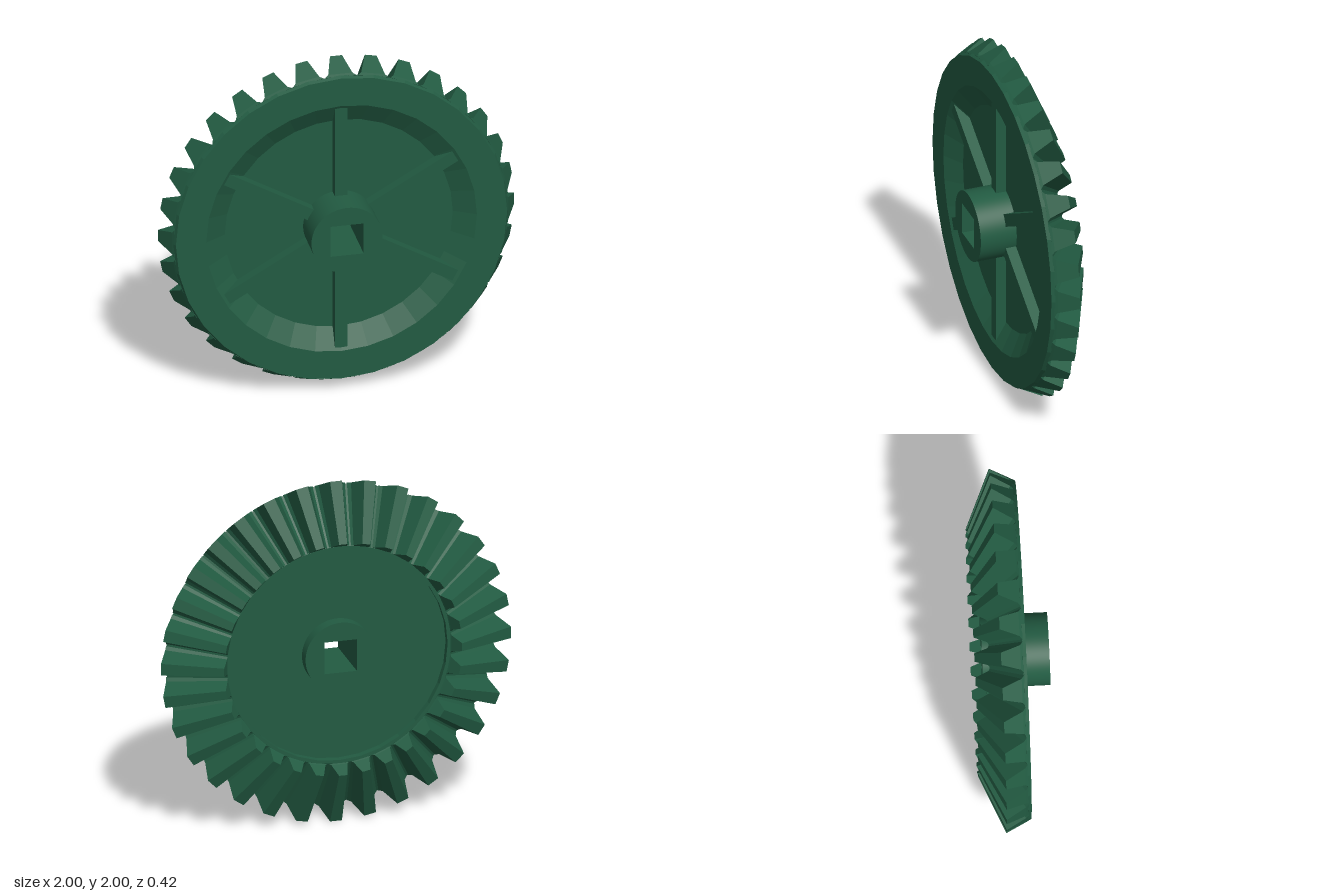
import * as THREE from 'three';
import { toCreasedNormals } from 'three/addons/utils/BufferGeometryUtils.js';

const TEETH = 32;
const APEX_Z = -0.51; // all teeth taper towards this point on the axis
const INNER_SCALE = 0.68;

function flat(geometry) {
  const g = geometry.index ? geometry.toNonIndexed() : geometry;
  g.computeVertexNormals();
  return g;
}

// One tapered bevel tooth, pointing along +x
function toothGeometry() {
  // half width and height (0 = root, 1 = tip)
  const section = [[-0.088, -0.03], [-0.068, 0.1], [-0.034, 1], [0.034, 1], [0.068, 0.1], [0.088, -0.03]];
  const outer = section.map(([w, t]) => {
    const r = 0.94 + 0.06 * t;
    return new THREE.Vector3(r * Math.cos(w / r), r * Math.sin(w / r), 0.05 - 0.12 * t);
  });
  const inner = outer.map((p) => new THREE.Vector3(
    p.x * INNER_SCALE, p.y * INNER_SCALE, APEX_Z + (p.z - APEX_Z) * INNER_SCALE));
  const pts = [];
  const n = section.length;
  for (let a = 0; a < n; a++) {
    const b = (a + 1) % n;
    pts.push(outer[b], outer[a], inner[a], outer[b], inner[a], inner[b]);
  }
  // end caps, fanned from the fillet corner
  for (let k = 2; k < n; k++) {
    const b = k, c = (k + 1) % n;
    pts.push(outer[1], outer[b], outer[c], inner[1], inner[c], inner[b]);
  }
  return flat(new THREE.BufferGeometry().setFromPoints(pts));
}

export function createModel() {
  const model = new THREE.Group();
  model.name = 'bevelGear';
  const green = new THREE.MeshStandardMaterial({ color: 0x225b42 });
  green.name = 'dark green';

  const gear = new THREE.Group();
  gear.name = 'gear';
  gear.position.y = 1;
  model.add(gear);

  const add = (name, geometry, parent = gear) => {
    const mesh = new THREE.Mesh(geometry, green);
    mesh.name = name;
    parent.add(mesh);
    return mesh;
  };

  // Dished wheel body: radius and depth along the axis
  const profile = [
    [0.64, -0.13], [0.94, 0.05], [0.93, 0.07], [0.76, 0.07], [0.64, 0],
    [0.19, 0], [0.19, -0.09], [0.62, -0.09], [0.62, -0.13], [0.64, -0.13],
  ].map(([r, z]) => new THREE.Vector2(r, z));
  add('wheelBody', flat(new THREE.LatheGeometry(profile, TEETH).rotateX(Math.PI / 2)));

  // Ring of teeth
  const teeth = new THREE.Group();
  teeth.name = 'teeth';
  gear.add(teeth);
  const tooth = toothGeometry();
  for (let i = 0; i < TEETH; i++) {
    add('tooth', tooth, teeth).rotation.z = (i / TEETH) * Math.PI * 2;
  }

  // Ribs in the front recess
  const spokes = new THREE.Group();
  spokes.name = 'spokes';
  gear.add(spokes);
  const spoke = new THREE.BoxGeometry(0.56, 0.07, 0.08).translate(0.47, 0, 0.02);
  for (let i = 0; i < 6; i++) {
    add('spoke', spoke, spokes).rotation.z = Math.PI / 6 + (i * Math.PI) / 3;
  }

  // Hub with a square axle hole
  const hub = new THREE.Shape().absarc(0, 0, 0.2, 0, Math.PI * 2, false);
  const h = 0.093;
  hub.holes.push(new THREE.Path([[-h, -h], [-h, h], [h, h], [h, -h], [-h, -h]]
    .map(([x, y]) => new THREE.Vector2(x, y))));
  const hubGeometry = new THREE.ExtrudeGeometry(hub, { depth: 0.37, bevelEnabled: false, curveSegments: 48 });
  add('hub', toCreasedNormals(hubGeometry.translate(0, 0, -0.16), 0.5));

  return model;
}
